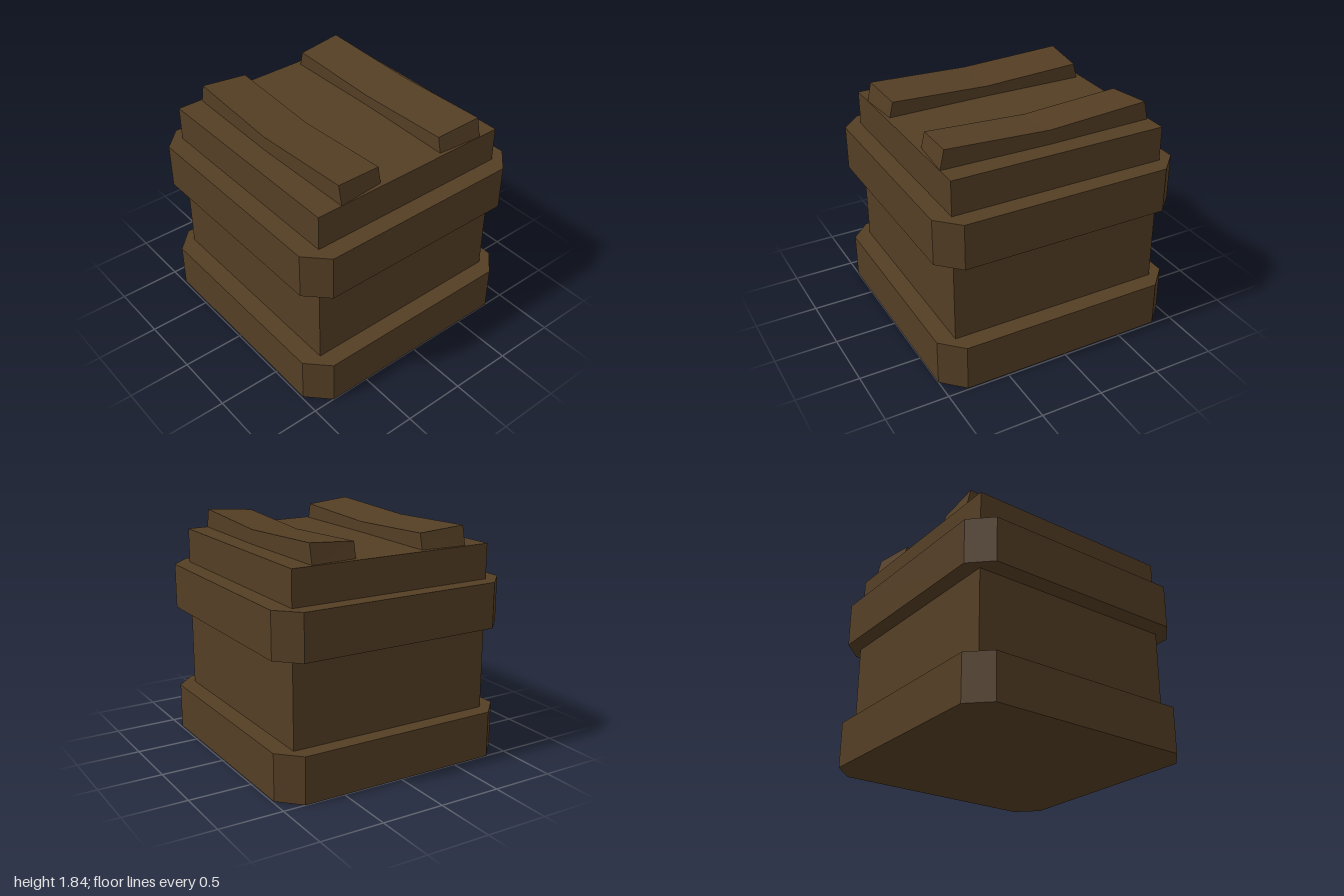
import * as THREE from 'three';

const wood = new THREE.MeshStandardMaterial({ color: 0x543e24 });
wood.name = 'darkWood';

function addMesh(group, geometry, name) {
  const mesh = new THREE.Mesh(geometry, wood);
  mesh.name = name;
  group.add(mesh);
  return mesh;
}

// Horizontal band with chamfered corners
function bandGeometry(y0, y1) {
  const x = 1, z = 0.987, c = 0.165;
  const shape = new THREE.Shape([
    [x - c, -z], [x, c - z], [x, z - c], [x - c, z],
    [c - x, z], [-x, z - c], [-x, c - z], [c - x, -z],
  ].map(([a, b]) => new THREE.Vector2(a, b)));
  return new THREE.ExtrudeGeometry(shape, { depth: y1 - y0, bevelEnabled: false })
    .rotateX(-Math.PI / 2).translate(0, y0, 0);
}

// Sagging, tapered rail: cross-sections at the left end, middle and right end.
// side is +1 for the front rail and -1 for the back rail.
function railGeometry(side) {
  const base = 1.68, midZ = -0.02;
  const sections = [-1, 0, 1].map((s) => {
    const end = Math.abs(s);
    const outer = 0.675 - 0.017 * end, inner = 0.297 - 0.012 * end;
    const top = 1.798 + 0.037 * end;
    return [
      [0.86 * s, base, outer],
      [0.825 * s, top, outer],
      [0.8 * s, top - 0.029, inner],
      [0.83 * s, base, inner],
    ].map(([x, y, z]) => [x, y, midZ + side * z]);
  });
  const pos = [];
  const quad = (a, b, c, d) => {
    const order = side > 0 ? [a, b, c, a, c, d] : [a, c, b, a, d, c];
    order.forEach((p) => pos.push(...p));
  };
  for (let i = 0; i < 2; i++) {
    const p = sections[i], q = sections[i + 1];
    for (let k = 0; k < 4; k++) {
      const n = (k + 1) % 4;
      quad(p[k], q[k], q[n], p[n]);
    }
  }
  const [l, , r] = sections;
  quad(l[0], l[1], l[2], l[3]);
  quad(r[3], r[2], r[1], r[0]);
  const g = new THREE.BufferGeometry();
  g.setAttribute('position', new THREE.Float32BufferAttribute(pos, 3));
  g.computeVertexNormals();
  return g;
}

export function createModel() {
  const group = new THREE.Group();
  group.name = 'woodenCrate';

  // Main box
  addMesh(group, new THREE.BoxGeometry(1.735, 1.665, 1.685), 'body')
    .position.set(-0.007, 0.8525, -0.003);

  // Surrounding bands
  addMesh(group, bandGeometry(0, 0.37), 'lowerBand');
  addMesh(group, bandGeometry(1.05, 1.41), 'upperBand');

  // Rails on the lid
  addMesh(group, railGeometry(1), 'frontRail');
  addMesh(group, railGeometry(-1), 'backRail');

  return group;
}
